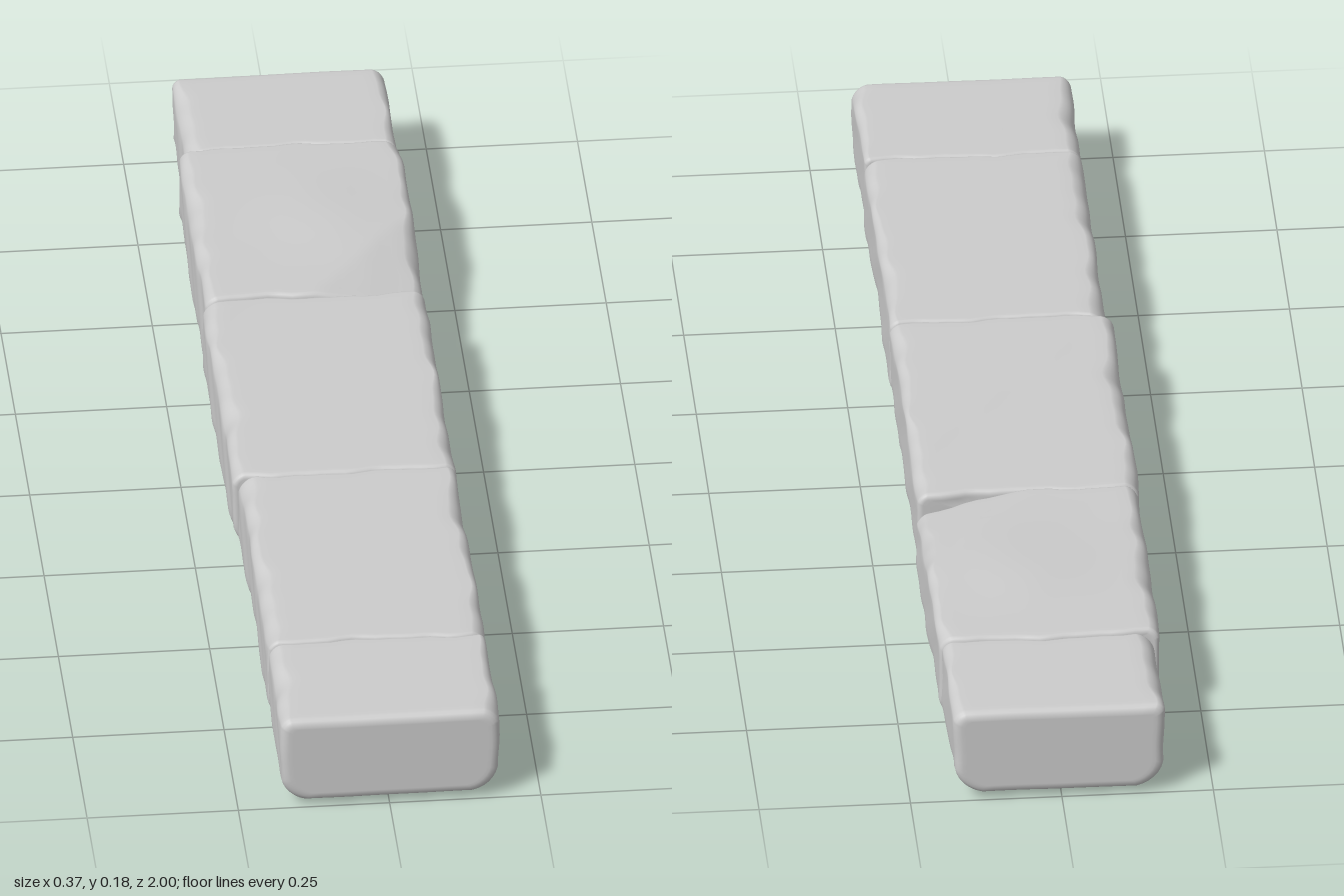
import * as THREE from 'three';

const material = new THREE.MeshStandardMaterial({ color: 0xcccccc, roughness: 0.9 });

// Smooth repeatable waviness, about -1..1
const wave = (t, seed) =>
  0.5 * Math.sin(t * 17 + seed * 2.3) + 0.3 * Math.sin(t * 41 + seed * 5.1) + 0.2 * Math.sin(t * 73 + seed * 1.7);

// Uneven seam line across the width
const seam = (x, seed) => 0.006 * wave(x * 1.3, seed);

// Worn cross-section, counter-clockwise seen from the front
function section(block, z, inset, seed) {
  const x0 = block.x[0] + inset, x1 = block.x[1] - inset;
  const y0 = block.y[0] + inset, y1 = block.y[1] - inset;
  const chip = (base, amount, s) => Math.max(0.004, base + amount * wave(z, s) - inset * 0.6);
  // corners: [x, y, radius, start angle]; the lower edges are worn more
  const corners = [
    [x1, y0, chip(0.042, 0.012, seed + 1), -Math.PI / 2],
    [x1, y1, chip(0.017, 0.009, seed + 2), 0],
    [x0, y1, chip(0.022, 0.010, seed + 3), Math.PI / 2],
    [x0, y0, chip(0.044, 0.012, seed + 4), Math.PI],
  ];
  const points = [];
  corners.forEach(([cx, cy, r, a0], k) => {
    const ox = cx - Math.sign(cx) * r;
    const oy = cy === y1 ? cy - r : cy + r;
    const arc = [];
    for (let i = 0; i <= 6; i++) {
      const a = a0 + (i / 6) * Math.PI / 2, u = i / 6;
      // mix a round edge with a flat bevel
      const c = Math.cos(a) * 0.7 + 0.3 * (Math.cos(a0) * (1 - u) - Math.sin(a0) * u);
      const s = Math.sin(a) * 0.7 + 0.3 * (Math.sin(a0) * (1 - u) + Math.cos(a0) * u);
      arc.push([ox + r * c, oy + r * s]);
    }
    points.push(...arc);
    // straight run to the next corner
    const [nx, ny, nr] = corners[(k + 1) % 4];
    const end = [[nx, ny - nr], [nx + 0, ny], [nx, ny + nr], [nx + nr, ny]][k];
    if (k === 1) end[0] = nx + nr;
    if (k === 3) end[0] = nx - nr;
    if (k === 3) end[0] = x1 - nr;
    const start = arc[6], n = k % 2 ? 16 : 6;
    for (let i = 1; i < n; i++) {
      points.push([start[0] + (end[0] - start[0]) * i / n, start[1] + (end[1] - start[1]) * i / n]);
    }
  });
  return points;
}

function stoneGeometry(block, seed) {
  const [z0, z1] = block.z;
  const [r0, r1] = block.round;
  // rings run from the middle of the back face, over the sides, to the middle of the front face
  const rings = [];
  const bevel = [0, 0.25, 0.5, 0.75, 1].map(t => t * Math.PI / 2);
  [0, 0.4, 0.8, 0.96].forEach(scale => rings.push({ z: z0, inset: r0, scale }));
  bevel.forEach(a => rings.push({ z: z0 + r0 * (1 - Math.cos(a)), inset: r0 * (1 - Math.sin(a)), scale: 1 }));
  const steps = Math.ceil((z1 - z0) / 0.014);
  for (let i = 1; i < steps; i++) {
    rings.push({ z: z0 + r0 + (z1 - z0 - r0 - r1) * i / steps, inset: 0, scale: 1 });
  }
  [...bevel].reverse().forEach(a => rings.push({ z: z1 - r1 * (1 - Math.cos(a)), inset: r1 * (1 - Math.sin(a)), scale: 1 }));
  [0.96, 0.8, 0.4, 0].forEach(scale => rings.push({ z: z1, inset: r1, scale }));

  const positions = [], indices = [];
  const cx = (block.x[0] + block.x[1]) / 2, cy = (block.y[0] + block.y[1]) / 2;
  let count = 0;
  for (const { z, inset, scale } of rings) {
    const ring = section(block, z, inset, seed);
    count = ring.length;
    for (const [px, py] of ring) {
      let x = cx + (px - cx) * scale, y = cy + (py - cy) * scale;
      const t = (z - z0) / (z1 - z0);
      const dz = block.seams[0] * seam(x, seed) * (1 - t) + block.seams[1] * seam(x, seed + 1) * t;
      // slight unevenness of the sides
      x += Math.sign(x - cx) * Math.min(1, Math.abs(x - cx) / 0.17) * 0.0025 * wave(z * 0.7 + y, seed + 6);
      y += 0.001 * wave(z * 0.5 + x * 0.6, seed + 8);
      if (block.shape) y = block.shape(x, y, z);
      positions.push(x, y, z + dz);
    }
  }
  for (let i = 0; i < rings.length - 1; i++) {
    for (let j = 0; j < count; j++) {
      const k = (j + 1) % count;
      const a = i * count + j, b = i * count + k, c = b + count, d = a + count;
      indices.push(a, b, c, a, c, d);
    }
  }
  const geometry = new THREE.BufferGeometry();
  geometry.setAttribute('position', new THREE.Float32BufferAttribute(positions, 3));
  geometry.setIndex(indices);
  geometry.computeVertexNormals();
  return geometry;
}

// Chipped stone: one upper corner broken down, a shallow crown above and a bulge below
function chippedShape(x, y, z) {
  const height = THREE.MathUtils.clamp((y - 0.03) / 0.13, 0, 1);
  const past = x / 0.18 + (z + 0.31) / 0.23;
  const crown = 0.007 * Math.exp(-(((x - 0.04) / 0.1) ** 2) - ((z + 0.55) / 0.12) ** 2);
  const bulge = 0.008 * Math.exp(-(((x - 0.025) / 0.05) ** 2) - ((z + 0.43) / 0.1) ** 2);
  return y + height * (crown - 0.038 * Math.max(0, past)) - (1 - height) * bulge;
}

export function createModel() {
  const group = new THREE.Group();
  group.name = 'stoneRow';
  const blocks = [
    { name: 'backEndStone', z: [-1, -0.77], x: [-0.17, 0.178], y: [0.01, 0.167], round: [0.014, 0.007], seams: [0, 1] },
    { name: 'chippedStone', z: [-0.77, -0.305], x: [-0.182, 0.184], y: [0.008, 0.171], round: [0.009, 0.009], seams: [1, 1], shape: chippedShape },
    { name: 'middleStone', z: [-0.305, 0.24], x: [-0.186, 0.181], y: [0.01, 0.168], round: [0.009, 0.009], seams: [1, 1] },
    { name: 'frontStone', z: [0.24, 0.755], x: [-0.177, 0.181], y: [0.01, 0.168], round: [0.007, 0.008], seams: [1, 1] },
    { name: 'frontEndStone', z: [0.755, 1], x: [-0.178, 0.181], y: [0.01, 0.167], round: [0.007, 0.014], seams: [1, 0] },
  ];
  blocks.forEach((block, i) => {
    const mesh = new THREE.Mesh(stoneGeometry(block, i + 1), material);
    mesh.name = block.name;
    group.add(mesh);
  });
  return group;
}
